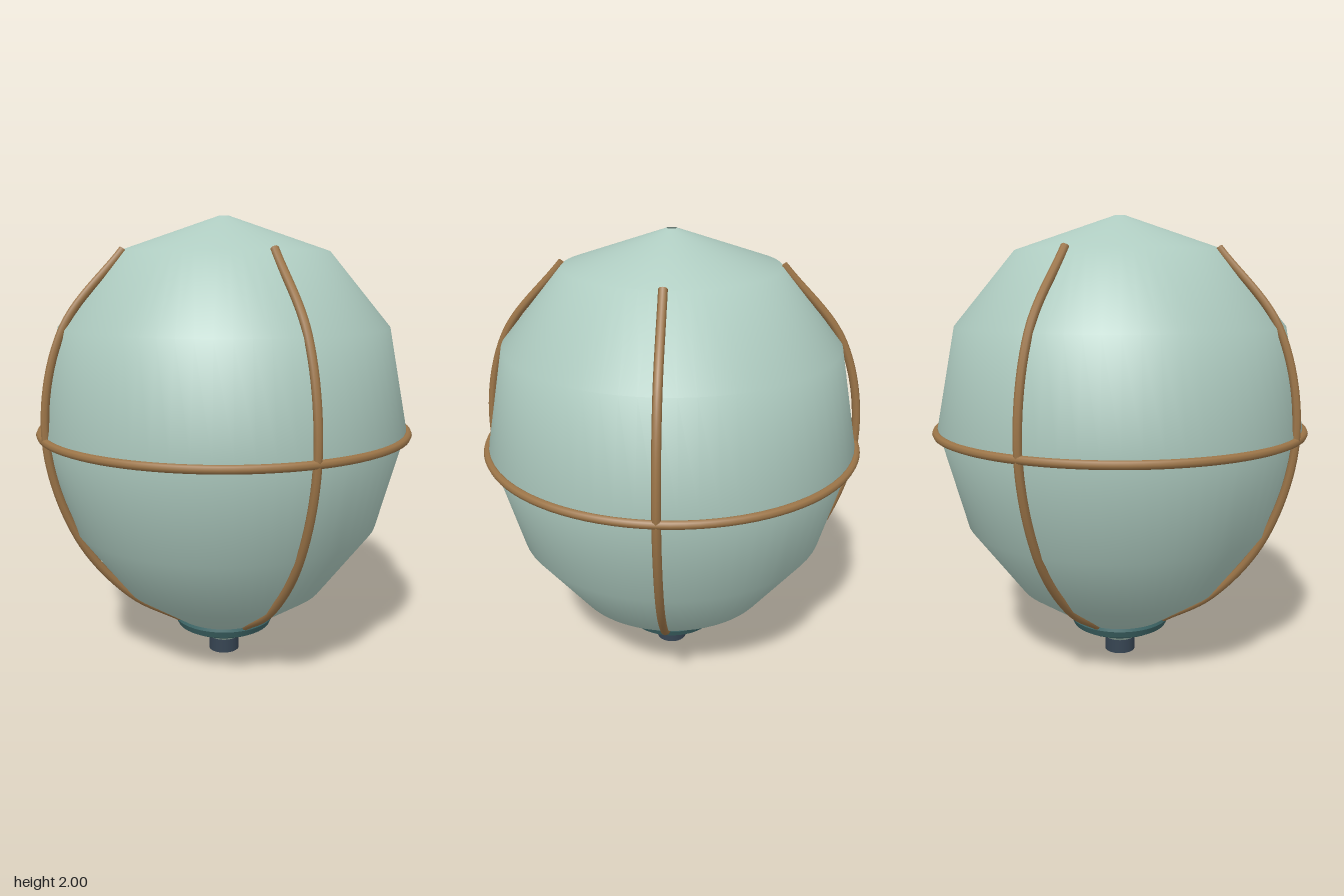
import * as THREE from 'three';
import { toCreasedNormals } from 'three/addons/utils/BufferGeometryUtils.js';

const points = (list) => list.map(([x, y]) => new THREE.Vector2(x, y));

export function createModel() {
  const group = new THREE.Group();
  const fabric = new THREE.MeshStandardMaterial({ color: 0xaecbc0, side: THREE.DoubleSide });
  const bronze = new THREE.MeshStandardMaterial({ color: 0x9c7548 });
  const teal = new THREE.MeshStandardMaterial({ color: 0x40696a, side: THREE.DoubleSide });
  const navy = new THREE.MeshStandardMaterial({ color: 0x364452 });

  const add = (name, geometry, material, y = 0) => {
    const mesh = new THREE.Mesh(geometry, material);
    mesh.name = name;
    mesh.position.y = y;
    group.add(mesh);
    return mesh;
  };

  // Envelope, from the neck up to the small vent at the crown
  const profile = points([
    [0.07, 0.065], [0.23, 0.19], [0.46, 0.345], [0.69, 0.65],
    [0.81, 1.09], [0.725, 1.53], [0.46, 1.85], [0.022, 2.0],
  ]);
  add('envelope', new THREE.LatheGeometry(profile, 64), fabric);

  // Four ribs following the envelope
  const ribPath = new THREE.CatmullRomCurve3([
    [0.22, 0.19], [0.46, 0.347], [0.695, 0.65],
    [0.815, 1.09], [0.73, 1.53], [0.46, 1.855],
  ].map(([x, y]) => new THREE.Vector3(x, y, 0)));
  const ribGeometry = new THREE.TubeGeometry(ribPath, 48, 0.018, 8);
  for (let i = 0; i < 4; i++) {
    add('rib' + (i + 1), ribGeometry, bronze).rotation.y = i * Math.PI / 2;
  }
  // Small discs closing the rib ends
  for (let i = 0; i < 4; i++) {
    for (const t of [0, 1]) {
      const normal = ribPath.getTangentAt(t).multiplyScalar(t ? 1 : -1);
      const cap = new THREE.CircleGeometry(0.018, 8);
      cap.applyQuaternion(new THREE.Quaternion().setFromUnitVectors(new THREE.Vector3(0, 0, 1), normal));
      const end = ribPath.getPointAt(t);
      cap.translate(end.x, end.y, end.z);
      add('ribEnd', cap, bronze).rotation.y = i * Math.PI / 2;
    }
  }

  // Equator hoop
  const hoop = new THREE.TorusGeometry(0.816, 0.018, 8, 96).rotateX(Math.PI / 2);
  add('equatorHoop', hoop, bronze, 1.07);

  // Chamfered collar around the neck
  const collar = points([
    [0.15, 0.145], [0.16, 0.128], [0.19, 0.128], [0.217, 0.143],
    [0.232, 0.175], [0.226, 0.197], [0.19, 0.2], [0.15, 0.145],
  ]);
  add('collar', toCreasedNormals(new THREE.LatheGeometry(collar, 48), 0.4), teal);

  // Nozzle at the bottom
  add('nozzle', new THREE.CylinderGeometry(0.07, 0.07, 0.066, 32), navy, 0.033);

  return group;
}
